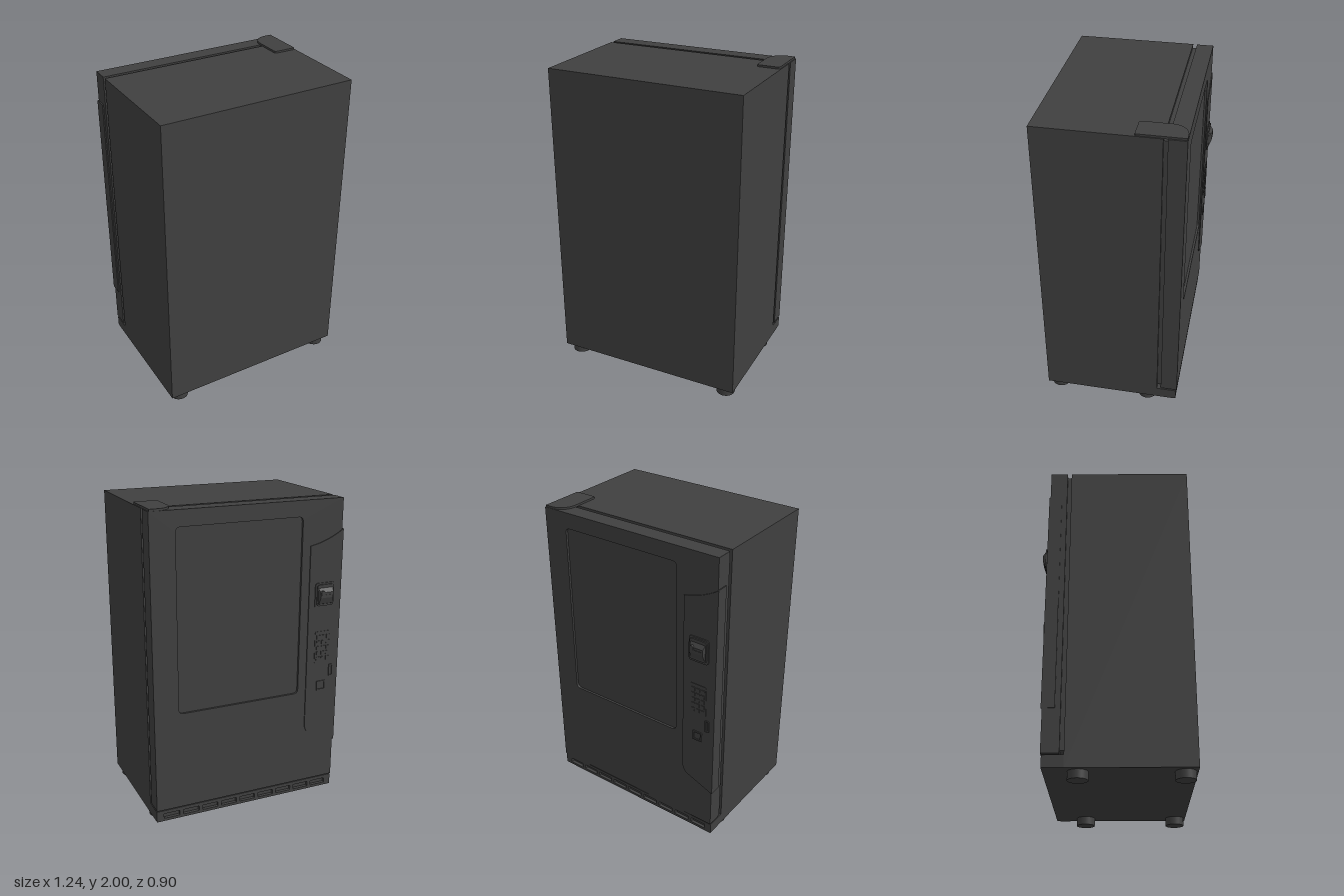
import * as THREE from 'three';

const material = new THREE.MeshStandardMaterial({ color: 0x404040 });
const FACE = -0.412; // plane of the door's outer face (door looks toward -z)

// Rectangle outline with rounded corners, usable as shape or hole
function roundRect(x0, y0, x1, y1, r, Type = THREE.Shape) {
  const s = new Type();
  s.moveTo(x0 + r, y0);
  s.lineTo(x1 - r, y0);
  s.quadraticCurveTo(x1, y0, x1, y0 + r);
  s.lineTo(x1, y1 - r);
  s.quadraticCurveTo(x1, y1, x1 - r, y1);
  s.lineTo(x0 + r, y1);
  s.quadraticCurveTo(x0, y1, x0, y1 - r);
  s.lineTo(x0, y0 + r);
  s.quadraticCurveTo(x0, y0, x0 + r, y0);
  return s;
}

export function createModel() {
  const model = new THREE.Group();

  const add = (name, geometry, parent = model) => {
    const mesh = new THREE.Mesh(geometry, material);
    mesh.name = name;
    parent.add(mesh);
    return mesh;
  };
  // Box given by its limits
  const box = (name, x0, x1, y0, y1, z0, z1, parent) => {
    const mesh = add(name, new THREE.BoxGeometry(x1 - x0, y1 - y0, z1 - z0), parent);
    mesh.position.set((x0 + x1) / 2, (y0 + y1) / 2, (z0 + z1) / 2);
    return mesh;
  };
  // Outline in x, y extruded between two z planes
  const slab = (name, shape, z0, z1, parent) => {
    const geometry = new THREE.ExtrudeGeometry(shape, { depth: z1 - z0, bevelEnabled: false, curveSegments: 6 });
    return add(name, geometry.translate(0, 0, z0), parent);
  };

  // Cabinet and the recessed seal between cabinet and door
  box('cabinet', -0.617, 0.62, 0.05, 1.988, -0.283, 0.45);
  box('doorSeal', -0.6, 0.605, 0.15, 1.97, -0.31, -0.28);

  // Door with a window opening and sunken glass
  const door = new THREE.Group();
  door.name = 'door';
  model.add(door);
  const doorShape = roundRect(-0.617, 0.13, 0.62, 1.988, 0.003);
  doorShape.holes.push(roundRect(-0.345, 0.76, 0.463, 1.89, 0.03, THREE.Path));
  slab('doorFrame', doorShape, FACE, -0.308, door);
  box('windowGlass', -0.36, 0.48, 0.74, 1.91, FACE + 0.014, -0.315, door);

  // Control panel wrapping round the free edge of the door
  const panel = new THREE.Shape();
  panel.moveTo(-0.624, 0.39);
  panel.lineTo(-0.44, 0.465);
  panel.quadraticCurveTo(-0.4, 0.485, -0.4, 0.54);
  panel.lineTo(-0.4, 1.71);
  panel.quadraticCurveTo(-0.52, 1.73, -0.624, 1.8);
  slab('controlPanel', panel, FACE - 0.006, FACE + 0.002);
  box('controlPanelSide', -0.624, -0.615, 0.39, 1.8, -0.418, -0.34);

  // Note acceptor: base plate, bezel and a wedge that narrows outward
  const acceptor = new THREE.Group();
  acceptor.name = 'noteAcceptor';
  model.add(acceptor);
  slab('acceptorBase', roundRect(-0.575, 1.315, -0.44, 1.475, 0.02), -0.424, -0.415, acceptor);
  const bezel = roundRect(-0.565, 1.33, -0.45, 1.465, 0.018);
  bezel.holes.push(roundRect(-0.55, 1.35, -0.465, 1.445, 0.012, THREE.Path));
  slab('acceptorBezel', bezel, -0.432, -0.424, acceptor);
  const wedge = new THREE.Shape();
  [[0, 1.335], [0.016, 1.345], [0.03, 1.385], [0.03, 1.42], [0, 1.46]]
    .forEach(([d, y], i) => (i ? wedge.lineTo(d, y) : wedge.moveTo(d, y)));
  const wedgeGeometry = new THREE.ExtrudeGeometry(wedge, { depth: 0.11, bevelEnabled: false });
  wedgeGeometry.translate(0, 0, -0.055).rotateY(Math.PI / 2); // depth now runs along -z
  const p = wedgeGeometry.attributes.position;
  for (let i = 0; i < p.count; i++) p.setX(i, p.getX(i) * (1 + p.getZ(i) * 7));
  wedgeGeometry.computeVertexNormals();
  add('acceptorMouth', wedgeGeometry, acceptor).position.set(-0.508, 0, -0.42);
  box('acceptorLip', -0.55, -0.465, 1.395, 1.405, -0.452, -0.44, acceptor);
  const light = add('acceptorLight', new THREE.CylinderGeometry(0.013, 0.013, 0.014, 16), acceptor);
  light.rotation.x = Math.PI / 2;
  light.position.set(-0.479, 1.418, -0.448);

  // Keypad with a grid of buttons
  const keypad = new THREE.Group();
  keypad.name = 'keypad';
  model.add(keypad);
  slab('keypadPlate', roundRect(-0.565, 0.95, -0.452, 1.16, 0.012), -0.421, -0.415, keypad);
  for (let row = 0; row < 5; row++) {
    for (let col = 0; col < 3; col++) {
      const x = -0.543 + col * 0.034, y = 0.98 + row * 0.036;
      box('key', x - 0.012, x + 0.012, y - 0.012, y + 0.012, -0.425, -0.42, keypad);
    }
  }

  // Coin slot and coin return, both as small framed openings
  const framed = (name, x0, y0, x1, y1, rim) => {
    const frame = roundRect(x0, y0, x1, y1, 0.006);
    frame.holes.push(roundRect(x0 + rim, y0 + rim, x1 - rim, y1 - rim, 0.003, THREE.Path));
    slab(name, frame, -0.424, -0.416);
  };
  framed('coinSlot', -0.59, 0.85, -0.56, 0.93, 0.008);
  framed('coinReturn', -0.54, 0.76, -0.475, 0.825, 0.01);

  // Kick plate with a row of vents
  const kick = roundRect(-0.617, 0.05, 0.62, 0.122, 0.002);
  for (let i = 0; i < 9; i++) {
    const x = -0.52 + i * 0.13;
    kick.holes.push(roundRect(x - 0.053, 0.068, x + 0.053, 0.1, 0.004, THREE.Path));
  }
  slab('kickPlate', kick, -0.406, -0.385);
  box('kickPlateBack', -0.617, 0.62, 0.05, 0.122, -0.386, -0.28);

  // Hinge cover on top, one corner strongly rounded
  const cover = new THREE.Shape();
  cover.moveTo(0.485, 0.13);
  cover.lineTo(0.605, 0.13);
  cover.quadraticCurveTo(0.614, 0.13, 0.614, 0.14);
  cover.lineTo(0.614, 0.41);
  cover.lineTo(0.57, 0.41);
  cover.absarc(0.57, 0.31, 0.1, Math.PI / 2, Math.PI, false);
  cover.lineTo(0.47, 0.145);
  cover.quadraticCurveTo(0.47, 0.13, 0.485, 0.13);
  const coverMesh = slab('hingeCover', cover, 0, 0.015);
  coverMesh.rotation.x = -Math.PI / 2;
  coverMesh.position.y = 1.985;

  // Feet
  for (const x of [-0.535, 0.545]) {
    for (const z of [0.38, -0.21]) {
      add('foot', new THREE.CylinderGeometry(0.059, 0.059, 0.055, 32)).position.set(x, 0.0275, z);
    }
  }

  return model;
}
